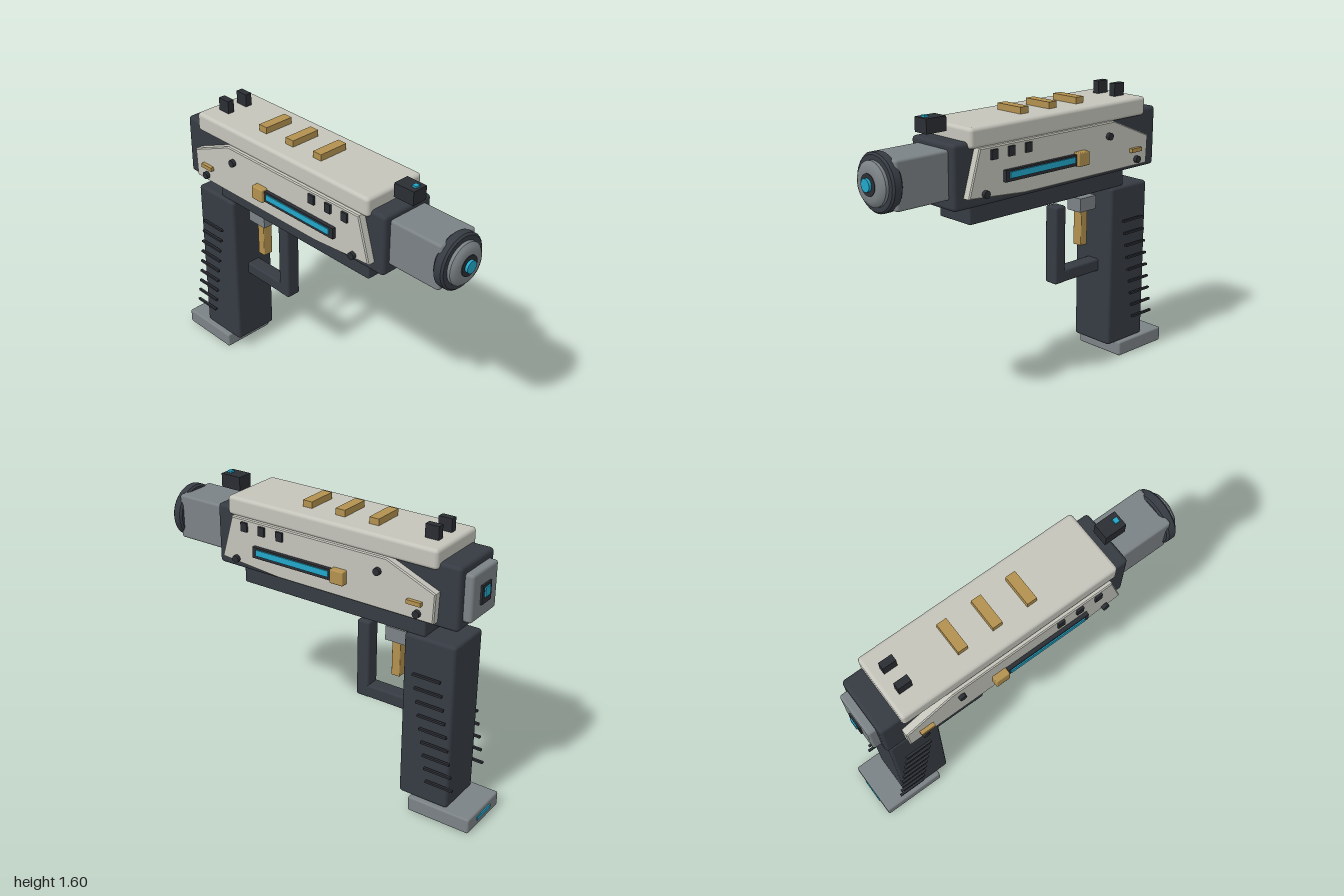
import * as THREE from 'three';
import { toCreasedNormals } from 'three/addons/utils/BufferGeometryUtils.js';
import { RoundedBoxGeometry } from 'three/addons/geometries/RoundedBoxGeometry.js';

const mat = (name, color) => {
  const m = new THREE.MeshStandardMaterial({ color });
  m.name = name;
  return m;
};

export function createModel() {
  const model = new THREE.Group();
  model.name = 'sciFiPistol';

  const shell = mat('paleShell', 0xc4c4bb);
  const dark = mat('darkFrame', 0x363b43);
  const black = mat('blackDetail', 0x2a2d33);
  const grey = mat('greyMetal', 0x7b8285);
  const gold = mat('brassAccent', 0xb3914f);
  const blue = mat('blueGlow', 0x22a6c8);

  const add = (name, geometry, material) => {
    const mesh = new THREE.Mesh(geometry, material);
    mesh.name = name;
    model.add(mesh);
    return mesh;
  };
  // Box given by its x, y and z ranges, with optional rounded edges
  const box = (name, material, [x0, x1], [y0, y1], [z0, z1], r = 0) => {
    const w = x1 - x0, h = y1 - y0, d = z1 - z0;
    const g = r ? new RoundedBoxGeometry(w, h, d, 2, r) : new THREE.BoxGeometry(w, h, d);
    const mesh = add(name, g, material);
    mesh.position.set((x0 + x1) / 2, (y0 + y1) / 2, (z0 + z1) / 2);
    return mesh;
  };
  // Box on the flank of the given side, from inner to outer x
  const sideBox = (name, material, s, inner, outer, y, z, r = 0) =>
    box(name, material, s > 0 ? [inner, outer] : [-outer, -inner], y, z, r);
  // Turned part along z; profile is [radius, z] from back to front
  const turned = (name, material, profile) => {
    const g = new THREE.LatheGeometry(profile.map(p => new THREE.Vector2(...p)), 32);
    g.rotateX(Math.PI / 2);
    add(name, toCreasedNormals(g, 0.5), material).position.y = 1.305;
  };

  // Receiver, top shell and lower frame
  box('receiver', dark, [-0.162, 0.162], [1.125, 1.46], [-0.87, 0.6], 0.02);
  box('topShell', shell, [-0.187, 0.187], [1.425, 1.53], [-0.755, 0.51], 0.02);
  box('lowerFrame', dark, [-0.118, 0.118], [1.025, 1.14], [-0.667, 0.465], 0.008);

  // Barrel and muzzle
  box('barrel', grey, [-0.122, 0.122], [1.18, 1.43], [0.55, 0.91], 0.014);
  turned('muzzleCollar', dark, [
    [0, 0.885], [0.138, 0.885], [0.148, 0.895], [0.148, 0.935], [0.138, 0.945], [0, 0.945],
  ]);
  turned('muzzleRing', grey, [
    [0.113, 0.94], [0.113, 0.962], [0.1, 0.974], [0.082, 0.982], [0.056, 0.982], [0.056, 0.95],
  ]);
  turned('muzzleBore', black, [[0.056, 0.95], [0.056, 0.985], [0, 0.985]]);
  turned('muzzleCore', blue, [[0.033, 0.98], [0.033, 1], [0, 1]]);

  // Rear cap with its indicator
  box('rearCap', grey, [-0.122, 0.122], [1.17, 1.42], [-0.915, -0.85], 0.015);
  box('rearWindow', black, [-0.045, 0.045], [1.245, 1.345], [-0.925, -0.91]);
  box('rearLight', blue, [-0.024, 0.024], [1.28, 1.33], [-0.932, -0.92]);

  // Grip and base plate
  box('grip', dark, [-0.135, 0.135], [0.085, 1.028], [-0.85, -0.558], 0.018);
  box('basePlate', grey, [-0.16, 0.16], [0.005, 0.09], [-0.995, -0.63], 0.01);
  box('baseLight', blue, [-0.07, 0.07], [0.04, 0.062], [-1, -0.99]);

  // Trigger and guard
  box('guardFront', dark, [-0.043, 0.043], [0.52, 0.965], [-0.292, -0.216], 0.012);
  box('guardBottom', dark, [-0.043, 0.043], [0.522, 0.595], [-0.58, -0.22], 0.012);
  box('triggerMount', grey, [-0.05, 0.05], [0.905, 0.983], [-0.52, -0.395]);
  box('trigger', gold, [-0.03, 0.03], [0.7, 0.905], [-0.475, -0.425], 0.005);

  // Sights and top bars
  box('frontSight', black, [-0.045, 0.045], [1.503, 1.578], [0.542, 0.665]);
  box('frontSightLight', blue, [-0.014, 0.014], [1.575, 1.588], [0.624, 0.65]);
  for (const s of [-1, 1]) sideBox('rearSight', black, s, 0.042, 0.08, [1.52, 1.6], [-0.695, -0.62]);
  for (const z of [0.065, -0.137, -0.337])
    box('topBar', gold, [-0.087, 0.087], [1.52, 1.565], [z - 0.028, z + 0.028]);

  // Flank panel outline as (z, y)
  const outline = new THREE.Shape([
    [0.535, 1.192], [0.465, 1.425], [-0.485, 1.425], [-0.758, 1.312], [-0.752, 1.162], [0.17, 1.162],
  ].map(p => new THREE.Vector2(...p)));
  const panel = new THREE.ExtrudeGeometry(outline, {
    depth: 0.036, bevelThickness: 0.006, bevelSize: 0.006, bevelSegments: 1,
  });
  panel.translate(0, 0, -0.018).rotateY(-Math.PI / 2);
  const screw = new THREE.CylinderGeometry(0.02, 0.02, 0.03, 12).rotateZ(Math.PI / 2);

  for (const s of [-1, 1]) {
    add('sidePanel', panel, shell).position.x = s * 0.181;
    // Slide rail, glow strip and knob
    sideBox('sideRail', black, s, 0.19, 0.226, [1.24, 1.3], [-0.19, 0.318]);
    sideBox('sideGlow', blue, s, 0.215, 0.232, [1.257, 1.29], [-0.165, 0.293]);
    sideBox('sideKnob', gold, s, 0.195, 0.243, [1.235, 1.31], [-0.26, -0.18], 0.006);
    sideBox('sideTab', gold, s, 0.195, 0.225, [1.238, 1.26], [-0.695, -0.615]);
    // Vents
    for (const z of [0.382, 0.268, 0.153])
      sideBox('sideVent', black, s, 0.19, 0.217, [1.365, 1.415], [z - 0.02, z + 0.02]);
    // Screws
    for (const [z, y] of [[0.44, 1.2], [-0.442, 1.355], [-0.67, 1.193]])
      add('sideScrew', screw, black).position.set(s * 0.21, y, z);
    // Grip ridges, stepping back toward the base
    for (let i = 0; i < 9; i++) {
      const y = 0.83 - i * 0.075, z = -0.71 - i * 0.0128;
      sideBox('gripRidge', black, s, 0.154, 0.168, [y - 0.006, y + 0.006], [z - 0.08, z + 0.08]);
    }
  }
  return model;
}
